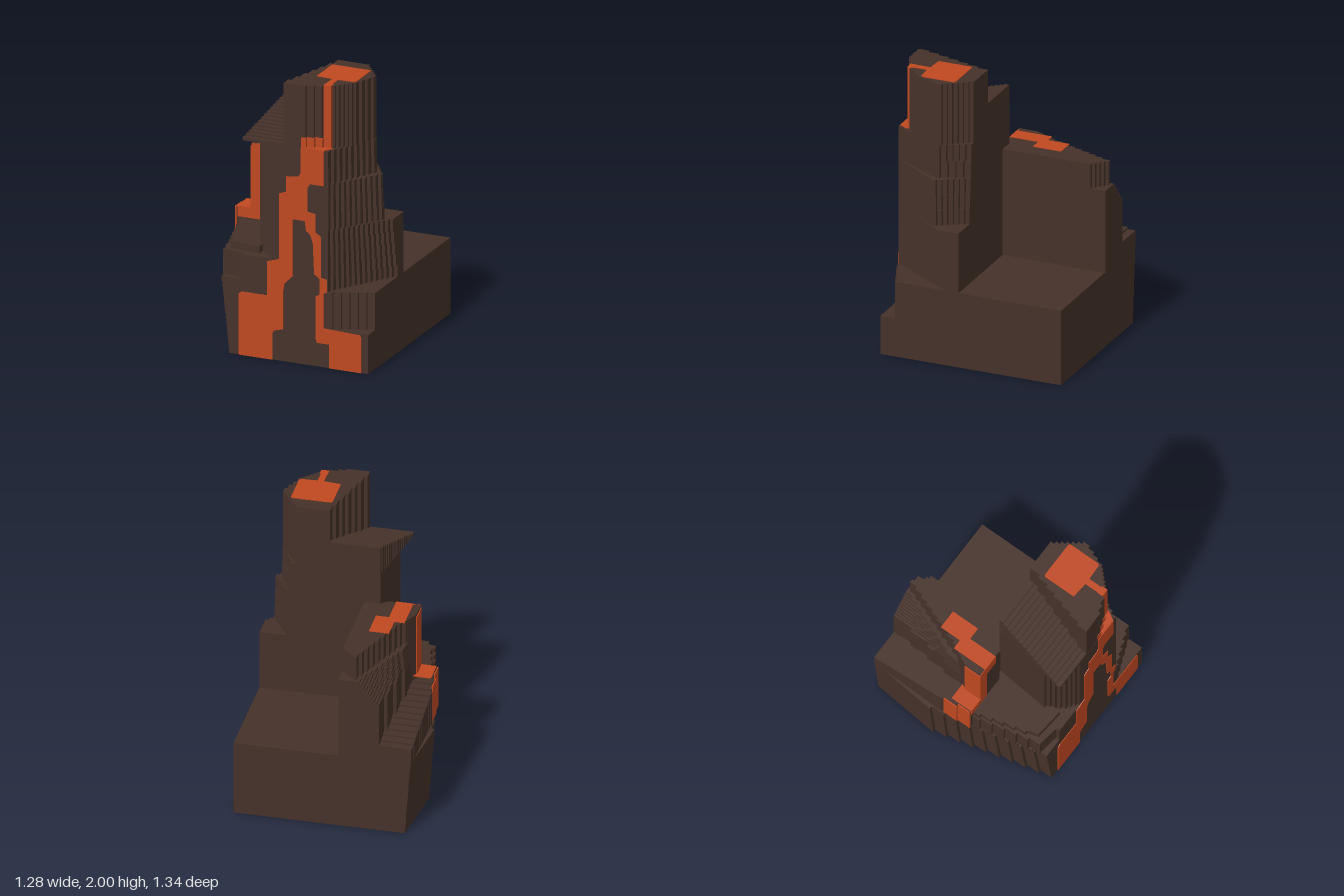
import * as THREE from 'three';

const rock = new THREE.MeshStandardMaterial({ color: 0x453129 });
rock.name = 'darkRock';
const lava = new THREE.MeshStandardMaterial({ color: 0xbf4820 });
lava.name = 'orangeLava';

// Turns every oblique edge of an [x, z] outline into small square steps
function stepped(points, size = 0.024) {
  const out = [];
  points.forEach(([ax, az], i) => {
    const [bx, bz] = points[(i + 1) % points.length];
    const dx = bx - ax, dz = bz - az;
    const run = Math.min(Math.abs(dx), Math.abs(dz));
    const n = run < 0.055 ? 0 : Math.ceil(run / size);
    out.push([ax, az]);
    for (let k = 0; k < n; k++) {
      out.push([ax + (dx * k) / n, az + (dz * (k + 1)) / n]);
      if (k < n - 1) out.push([ax + (dx * (k + 1)) / n, az + (dz * (k + 1)) / n]);
    }
  });
  return out;
}

function shapeOf(points) {
  return new THREE.Shape(points.map(([x, y]) => new THREE.Vector2(x, y)));
}

export function createModel() {
  const model = new THREE.Group();
  model.name = 'volcanicRock';

  function add(name, geometry, material) {
    const mesh = new THREE.Mesh(geometry, material);
    mesh.name = name;
    model.add(mesh);
    return mesh;
  }

  // Upright slab from an [x, z] outline
  function slab(name, points, y0, y1, material = rock) {
    const outline = stepped(points).map(([x, z]) => [x, -z]);
    const g = new THREE.ExtrudeGeometry(shapeOf(outline), { depth: y1 - y0, bevelEnabled: false });
    g.rotateX(-Math.PI / 2).translate(0, y0, 0);
    return add(name, g, material);
  }

  // Stack of slabs whose outline changes from bottom to top
  function taper(name, low, high, y0, y1, layers) {
    for (let i = 0; i < layers; i++) {
      const t = (i + 0.5) / layers;
      const pts = low.map(([x, z], k) => [x + (high[k][0] - x) * t, z + (high[k][1] - z) * t]);
      slab(name, pts, y0 + ((y1 - y0) * i) / layers, y0 + ((y1 - y0) * (i + 1)) / layers);
    }
  }

  function box(name, x0, x1, y0, y1, z0, z1, material = rock) {
    const g = new THREE.BoxGeometry(x1 - x0, y1 - y0, z1 - z0);
    g.translate((x0 + x1) / 2, (y0 + y1) / 2, (z0 + z1) / 2);
    return add(name, g, material);
  }

  // Flat lava sheet facing +z
  function sheet(name, points, z) {
    const g = new THREE.ExtrudeGeometry(shapeOf(points), { depth: 0.005, bevelEnabled: false });
    return add(name, g.translate(0, 0, z), lava);
  }

  // Base: leaning left side, front corner cut away above the low ledge
  taper('baseLower',
    [[0.64, -0.668], [0.64, 0.668], [-0.39, 0.668], [-0.6, -0.17], [-0.55, -0.668]],
    [[0.64, -0.668], [0.64, 0.668], [-0.42, 0.668], [-0.62, -0.17], [-0.57, -0.668]], 0, 0.28, 7);
  taper('baseUpper',
    [[0.64, -0.668], [0.64, 0.54], [0.32, 0.668], [-0.42, 0.668], [-0.62, -0.17], [-0.57, -0.668]],
    [[0.64, -0.668], [0.64, 0.54], [0.32, 0.668], [-0.45, 0.668], [-0.64, -0.17], [-0.59, -0.668]], 0.28, 0.545, 7);

  // Tower tiers, all sharing the same left outline
  const towerLeft = [[0.32, 0.668], [-0.07, 0.668], [-0.15, 0.61], [-0.24, 0.5], [-0.2, 0.09]];
  taper('towerFoot', [[0.64, 0.09], [0.64, 0.15], ...towerLeft],
    [[0.64, 0.09], [0.64, 0.24], ...towerLeft], 0.54, 0.98, 5);
  taper('towerMiddle', [[0.46, 0.09], [0.585, 0.28], ...towerLeft],
    [[0.44, 0.09], [0.575, 0.29], ...towerLeft], 0.98, 1.31, 3);
  taper('towerShoulder', [[0.44, 0.09], [0.53, 0.28], ...towerLeft],
    [[0.42, 0.09], [0.525, 0.28], ...towerLeft], 1.31, 1.55, 2);
  slab('towerTop', [[0.175, 0.09], [0.39, 0.09], [0.52, 0.27], [0.44, 0.47], [0.33, 0.58],
    [0.12, 0.665], [0.01, 0.668]], 1.55, 1.995);

  // Overhang on the tower, stepping down toward the front
  const roofSteps = 16;
  for (let i = 0; i < roofSteps; i++) {
    const t = i / roofSteps, z = 0.09 + 0.578 * t;
    box('overhang', -0.2 - 0.1 * t, 0.175 - 0.155 * t, 1.54, 1.75 - 0.2 * t, z, z + 0.578 / roofSteps);
  }

  // Ridge behind the tower
  slab('ridgeTop', [[-0.09, -0.54], [-0.21, -0.65], [-0.42, -0.1], [-0.47, 0], [-0.47, 0.13],
    [-0.25, 0.13], [-0.2, 0.09], [-0.09, 0.09]], 0.54, 1.32);
  const ridgeSteps = 10;
  for (let i = 0; i < ridgeSteps; i++) {
    const t = i / ridgeSteps;
    // Back shoulder, lower toward the outside
    slab('ridgeShoulder', [[-0.09, -0.67], [-0.22 - 0.15 * (1 - t), -0.67],
      [-0.42 - 0.02 * (1 - t), -0.2], [-0.45, 0.1], [-0.09, 0.1]],
      i ? 0.98 + 0.018 * (i - 1) : 0.54, 0.98 + 0.018 * i);
  }

  // Side terrace rising toward the front in steps
  const terraceSteps = 14;
  for (let i = 0; i < terraceSteps; i++) {
    const t = i / (terraceSteps - 1), z = -0.668 + (0.798 * i) / terraceSteps;
    const outer = z < -0.1 ? -0.595 - 0.015 * t : -0.6 + 0.12 * (z + 0.1);
    box('sideTerrace', outer, -0.33, 0.54, 0.66 + 0.19 * t, z, z + 0.798 / terraceSteps);
  }

  // Front left terraces
  slab('frontTerraceLower', [[-0.56, 0.1], [-0.44, 0.62], [-0.3, 0.64], [-0.3, 0.668],
    [-0.03, 0.668], [-0.03, 0.1]], 0.54, 0.72);
  slab('frontTerraceUpper', [[-0.55, 0.1], [-0.44, 0.5], [-0.42, 0.58], [-0.2, 0.6], [-0.2, 0.1]], 0.72, 0.77);

  // Forked lava flow on the front
  sheet('frontLava', [
    [-0.32, 0], [-0.32, 0.44], [-0.3, 0.455], [-0.11, 0.455], [-0.11, 0.7], [-0.02, 0.73],
    [-0.02, 1.2], [0.03, 1.22], [0.03, 1.33], [0.12, 1.34], [0.14, 1.37], [0.14, 1.55],
    [0.31, 1.55], [0.31, 1.3], [0.21, 1.3], [0.19, 1.27], [0.19, 1.1], [0.25, 1.09],
    [0.25, 0.96], [0.29, 0.93], [0.29, 0.64], [0.335, 0.63], [0.335, 0.54], [0.31, 0.53],
    [0.31, 0.28], [0.58, 0.27], [0.59, 0.25], [0.59, 0], [0.35, 0], [0.35, 0.17],
    [0.26, 0.17], [0.25, 0.2], [0.25, 0.5], [0.28, 0.52], [0.28, 0.63], [0.24, 0.66],
    [0.23, 0.88], [0.21, 0.94], [0.18, 0.96], [0.17, 1.03], [0.08, 1.03], [0.08, 0.62],
    [0.02, 0.56], [0.01, 0.5], [0.01, 0.23], [-0.06, 0.21], [-0.07, 0.19], [-0.07, 0],
  ], 0.668);

  // Lava running down from the summit pool, following the steps of the tower front
  for (let i = 0; i < 4; i++) {
    const x = 0.12 + 0.0525 * i;
    box('chamferLava', Math.max(x, 0.14), x + 0.0565, 1.55, i < 3 ? 1.625 : 2,
      0.56, 0.669 - 0.0213 * i, lava);
  }
  slab('ledgeLava', [[0.14, 0.668], [0.31, 0.668], [0.35, 0.605], [0.3, 0.56], [0.14, 0.6]], 1.55, 1.556, lava);
  slab('summitPool', [[0.16, 0.21], [0.17, 0.2], [0.44, 0.2], [0.45, 0.21], [0.45, 0.44], [0.44, 0.455],
    [0.325, 0.46], [0.325, 0.59], [0.28, 0.6], [0.28, 0.46], [0.16, 0.45]], 1.995, 2, lava);

  // Lava on the ridge and the side terrace
  slab('ridgePool', [[-0.35, -0.29], [-0.21, -0.29], [-0.21, -0.08], [-0.3, -0.08], [-0.3, 0.133],
    [-0.42, 0.133], [-0.42, -0.13], [-0.35, -0.13]], 1.32, 1.324, lava);
  sheet('ridgeFrontLava', [[-0.575, 0.78], [-0.4, 0.78], [-0.4, 1.2], [-0.3, 1.2], [-0.3, 1.32],
    [-0.47, 1.32], [-0.47, 0.85], [-0.575, 0.85]], 0.13);
  box('ridgeSideLava', -0.476, -0.469, 0.85, 1.3, 0, 0.134, lava);
  box('terraceLava', -0.58, -0.45, 0.85, 0.856, -0.03, 0.134, lava);
  box('terraceSideLava', -0.604, -0.596, 0.55, 0.82, -0.08, 0.03, lava);
  box('terraceSideLava', -0.594, -0.585, 0.55, 0.85, 0.03, 0.13, lava);

  return model;
}
